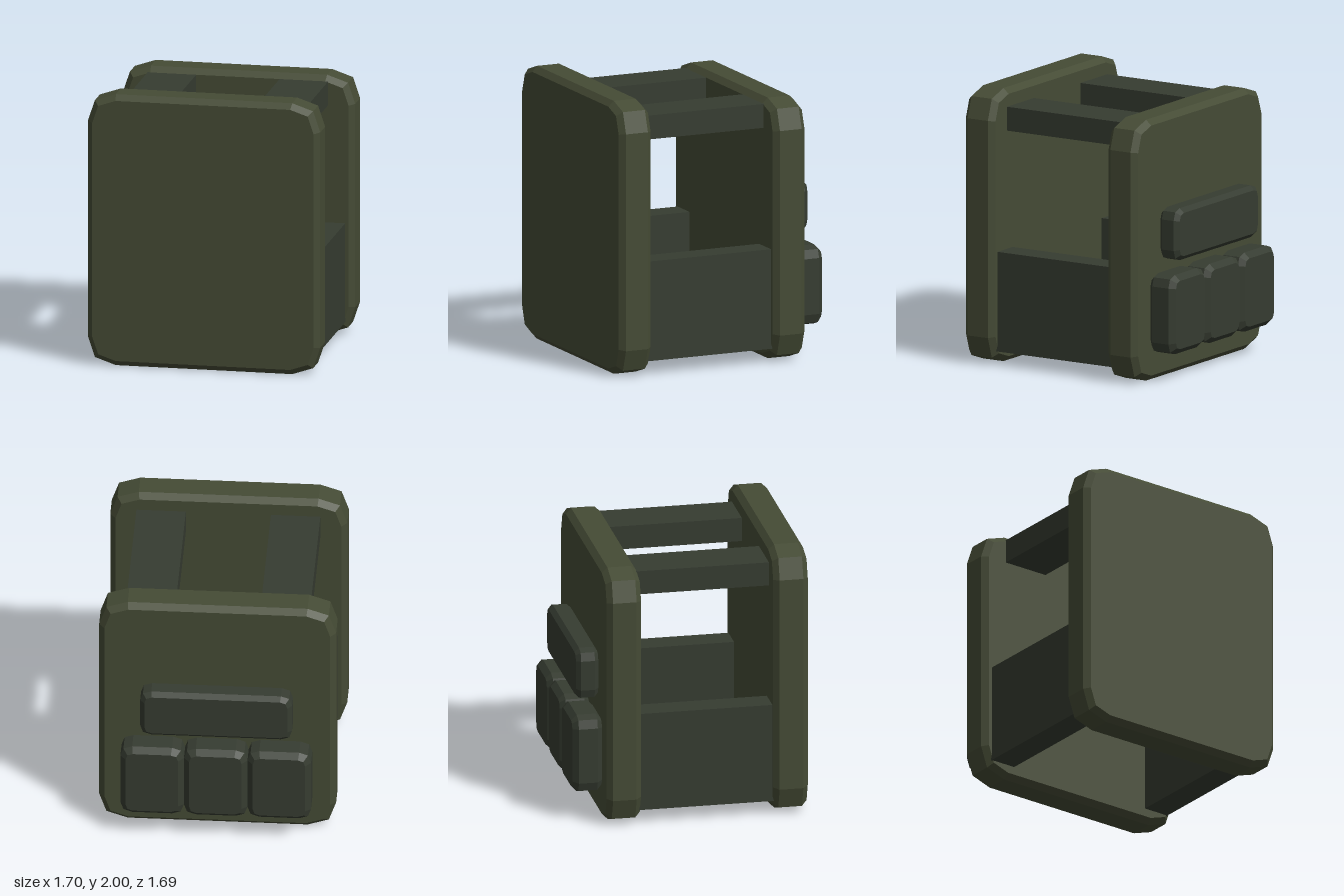
import * as THREE from 'three';

const olive = new THREE.MeshStandardMaterial({ color: 0x454b35, flatShading: true });
const darkOlive = new THREE.MeshStandardMaterial({ color: 0x363c31, flatShading: true });

// Slab with two-step cut corners and one chamfer round both faces.
// c = corner cut length, s = its short side, b = chamfer.
function slab(name, material, [x0, x1], [y0, y1], [z0, z1], c, s, b) {
  const hx = (x1 - x0) / 2, hy = (y1 - y0) / 2;
  const corner = [[hx, hy - c], [hx - s, hy - s], [hx - c, hy]];
  const points = [];
  for (const [sx, sy] of [[1, 1], [-1, 1], [-1, -1], [1, -1]]) {
    const part = corner.map(([x, y]) => new THREE.Vector2(x * sx, y * sy));
    points.push(...(sx * sy > 0 ? part : part.reverse()));
  }
  const geometry = new THREE.ExtrudeGeometry(new THREE.Shape(points), {
    depth: z1 - z0 - 2 * b,
    bevelEnabled: true, bevelSegments: 1,
    bevelThickness: b, bevelSize: b, bevelOffset: -b,
  });
  geometry.translate((x0 + x1) / 2, (y0 + y1) / 2, z0 + b);
  const mesh = new THREE.Mesh(geometry, material);
  mesh.name = name;
  return mesh;
}

// Plain box given by its limits
function box(name, [x0, x1], [y0, y1], [z0, z1]) {
  const mesh = new THREE.Mesh(new THREE.BoxGeometry(x1 - x0, y1 - y0, z1 - z0), darkOlive);
  mesh.position.set((x0 + x1) / 2, (y0 + y1) / 2, (z0 + z1) / 2);
  mesh.name = name;
  return mesh;
}

export function createModel() {
  const vest = new THREE.Group();
  vest.name = 'armourVest';

  // Chest and back panels
  vest.add(slab('frontPanel', olive, [-0.85, 0.85], [0, 2], [0.59, 0.843], 0.205, 0.052, 0.04));
  vest.add(slab('backPanel', olive, [-0.85, 0.85], [0, 1.91], [-0.627, -0.375], 0.205, 0.052, 0.04));

  // Shoulder straps and side panels joining front to back
  for (const [side, m] of [['left', 1], ['right', -1]]) {
    const span = (a, b) => (m > 0 ? [a, b] : [-b, -a]);
    vest.add(box(side + 'ShoulderStrap', span(0.305, 0.66), [1.695, 1.87], [-0.4, 0.62]));
    vest.add(box(side + 'SidePanel', span(0.585, 0.785), [0.1, 0.83], [-0.4, 0.62]));
  }

  // Wide upper pouch and a row of three lower pouches on the back
  vest.add(slab('upperPouch', darkOlive, [-0.545, 0.545], [0.87, 1.25], [-0.79, -0.625], 0.08, 0.02, 0.032));
  for (let i = -1; i <= 1; i++) {
    const x = i * 0.456;
    vest.add(slab('lowerPouch' + (i + 2), darkOlive,
      [x - 0.228, x + 0.228], [0.21, 0.79], [-0.843, -0.625], 0.085, 0.022, 0.04));
  }
  return vest;
}
